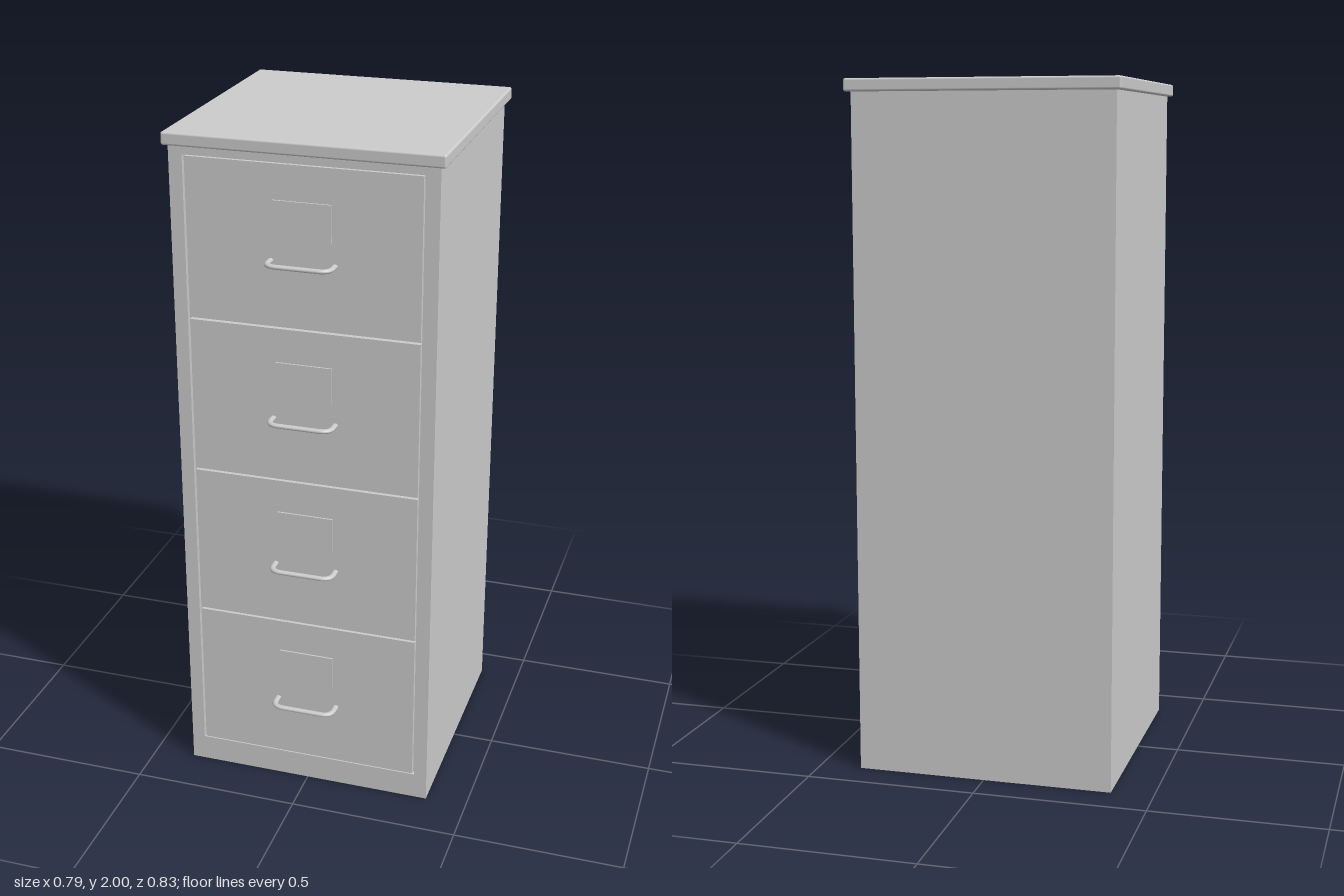
import * as THREE from 'three';
import { RoundedBoxGeometry } from 'three/addons/geometries/RoundedBoxGeometry.js';

const metal = new THREE.MeshStandardMaterial({ color: 0xcccccc });
const FRONT = 0.355, BACK = -0.395, HALF = 0.377, BODY_TOP = 1.965;
const OPEN_X = 0.338, OPEN_BOTTOM = 0.08, OPEN_TOP = 1.94, RECESS = 0.015, GAP = 0.006;

function add(parent, name, geometry, x = 0, y = 0, z = 0) {
  const mesh = new THREE.Mesh(geometry, metal);
  mesh.name = name;
  mesh.position.set(x, y, z);
  parent.add(mesh);
  return mesh;
}

function rectangle(Type, x0, y0, x1, y1) {
  return new Type([[x0, y0], [x1, y0], [x1, y1], [x0, y1]].map(p => new THREE.Vector2(...p)));
}

// Bow handle: straight posts and bar joined by rounded corners
function handleGeometry() {
  const v = (x, z) => new THREE.Vector3(x, 0, z);
  const w = 0.091, out = 0.052, r = 0.032;
  const path = new THREE.CurvePath();
  path.add(new THREE.LineCurve3(v(-w, -0.006), v(-w, out - r)));
  path.add(new THREE.QuadraticBezierCurve3(v(-w, out - r), v(-w, out), v(r - w, out)));
  path.add(new THREE.LineCurve3(v(r - w, out), v(w - r, out)));
  path.add(new THREE.QuadraticBezierCurve3(v(w - r, out), v(w, out), v(w, out - r)));
  path.add(new THREE.LineCurve3(v(w, out - r), v(w, -0.006)));
  return new THREE.TubeGeometry(path, 64, 0.0085, 12).scale(1, 0.75, 1);
}

export function createModel() {
  const cabinet = new THREE.Group();
  cabinet.name = 'filingCabinet';

  // Carcass behind the drawer fronts
  const depth = FRONT - RECESS - BACK;
  add(cabinet, 'body', new THREE.BoxGeometry(HALF * 2, BODY_TOP, depth), 0, BODY_TOP / 2, BACK + depth / 2);

  // Face frame around the drawer opening
  const frame = rectangle(THREE.Shape, -HALF, 0, HALF, BODY_TOP);
  frame.holes.push(rectangle(THREE.Path, -OPEN_X, OPEN_BOTTOM, OPEN_X, OPEN_TOP));
  add(cabinet, 'faceFrame', new THREE.ExtrudeGeometry(frame, { depth: RECESS, bevelEnabled: false }),
    0, 0, FRONT - RECESS);

  // Overhanging top with softened edges
  add(cabinet, 'top', new RoundedBoxGeometry(0.786, 0.036, 0.783, 3, 0.006), 0, 1.982, -0.0235);

  // Four identical drawers
  const pitch = (OPEN_TOP - OPEN_BOTTOM) / 4;
  const frontGeometry = new THREE.BoxGeometry(OPEN_X * 2 - GAP * 2, pitch - GAP, RECESS);
  const plateGeometry = new THREE.BoxGeometry(0.165, 0.105, 0.006);
  const handle = handleGeometry();
  for (let i = 0; i < 4; i++) {
    const drawer = new THREE.Group();
    drawer.name = 'drawer' + (i + 1);
    drawer.position.set(0, OPEN_BOTTOM + pitch * (i + 0.5), FRONT);
    add(drawer, 'drawerFront', frontGeometry, 0, 0, -RECESS / 2);
    add(drawer, 'labelPlate', plateGeometry, 0, 0.078, 0.002);
    add(drawer, 'handle', handle, 0, -0.039, 0);
    cabinet.add(drawer);
  }
  return cabinet;
}
